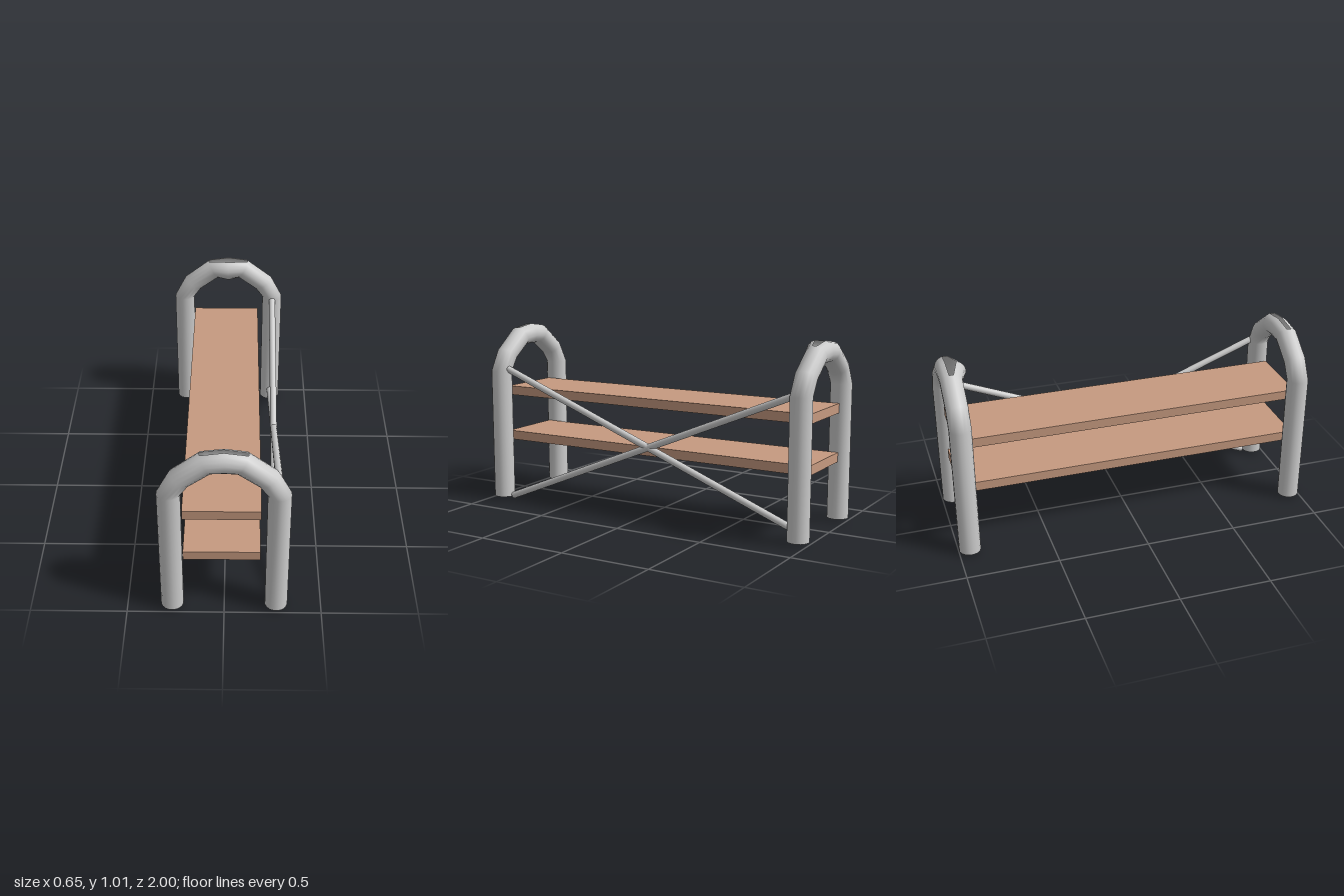
import * as THREE from 'three';

const grey = new THREE.MeshStandardMaterial({ color: 0xcccccc, side: THREE.DoubleSide });
const wood = new THREE.MeshStandardMaterial({ color: 0xc69a80 });

const R = 0.059;    // arch pipe radius
const SIDES = 16;
const FOOT = 0.015; // height of the pipe ends

// Half of the arch: centre x, centre y, tilt of the pipe section
const half = [
  [0.268, FOOT, 0],
  [0.268, 0.756, 0],
  [0.213, 0.848, 0.6],
  [0.088, 0.942, 1.06],
];
const stations = [
  ...half,
  [0, 0.951, Math.PI / 2],
  ...half.map(([x, y, a]) => [-x, y, Math.PI - a]).reverse(),
];

// Faceted bent pipe with a narrow slit through its crown; bulge pushes the crown inward along z
function archGeometry(bulge) {
  const pos = [], index = [];
  stations.forEach(([x, y, a], s) => {
    for (let i = 0; i < SIDES; i++) {
      const t = ((i + 0.5) / SIDES) * Math.PI * 2;
      const c = R * Math.cos(t);
      let z = R * Math.sin(t);
      if (s === 4 && z > 0) z += bulge;
      pos.push(x + c * Math.cos(a), y + c * Math.sin(a), z);
    }
  });
  for (let s = 0; s < stations.length - 1; s++) {
    for (let i = 0; i < SIDES; i++) {
      const crown = s === 3 || s === 4;
      if (crown && (i === SIDES - 1 || i === SIDES / 2 - 1)) continue;
      const j = (i + 1) % SIDES;
      const a = s * SIDES + i, b = s * SIDES + j;
      index.push(a, a + SIDES, b, b, a + SIDES, b + SIDES);
    }
  }
  const g = new THREE.BufferGeometry();
  g.setAttribute('position', new THREE.Float32BufferAttribute(pos, 3));
  g.setIndex(index);
  g.computeVertexNormals();
  return g;
}

function arch(name, z, bulge) {
  const group = new THREE.Group();
  group.name = name;
  const pipe = new THREE.Mesh(archGeometry(bulge), grey);
  pipe.name = name + 'Pipe';
  group.add(pipe);
  // Flat caps closing the feet
  for (const side of [1, -1]) {
    const cap = new THREE.Mesh(new THREE.CircleGeometry(R, SIDES), grey);
    cap.name = 'footCap';
    cap.rotation.set(Math.PI / 2, 0, Math.PI / SIDES);
    cap.position.set(side * 0.268, FOOT, 0);
    group.add(cap);
  }
  group.position.z = z;
  return group;
}

// Thin straight rod between two points
function rod(name, from, to, radius) {
  const dir = to.clone().sub(from);
  const mesh = new THREE.Mesh(new THREE.CylinderGeometry(radius, radius, dir.length(), 16), grey);
  mesh.name = name;
  mesh.position.copy(from).add(to).multiplyScalar(0.5);
  mesh.quaternion.setFromUnitVectors(new THREE.Vector3(0, 1, 0), dir.normalize());
  return mesh;
}

export function createModel() {
  const model = new THREE.Group();
  model.name = 'shelfRack';

  // End arches
  model.add(arch('frontArch', 0.94, 0));
  model.add(arch('backArch', -0.94, 0.035));

  // Shelf boards
  [['lowerShelf', 0.362], ['upperShelf', 0.629]].forEach(([name, y]) => {
    const board = new THREE.Mesh(new THREE.BoxGeometry(0.388, 0.052, 1.915), wood);
    board.name = name;
    board.position.set(-0.012, y, 0.002);
    model.add(board);
  });

  // Crossed braces on the left side
  const v = (y, z) => new THREE.Vector3(0.268, y, z);
  model.add(rod('fallingBrace', v(0.768, 0.89), v(0.078, -0.9), 0.019));
  model.add(rod('risingBrace', v(0.02, 0.875), v(0.755, -0.9), 0.019));

  return model;
}
